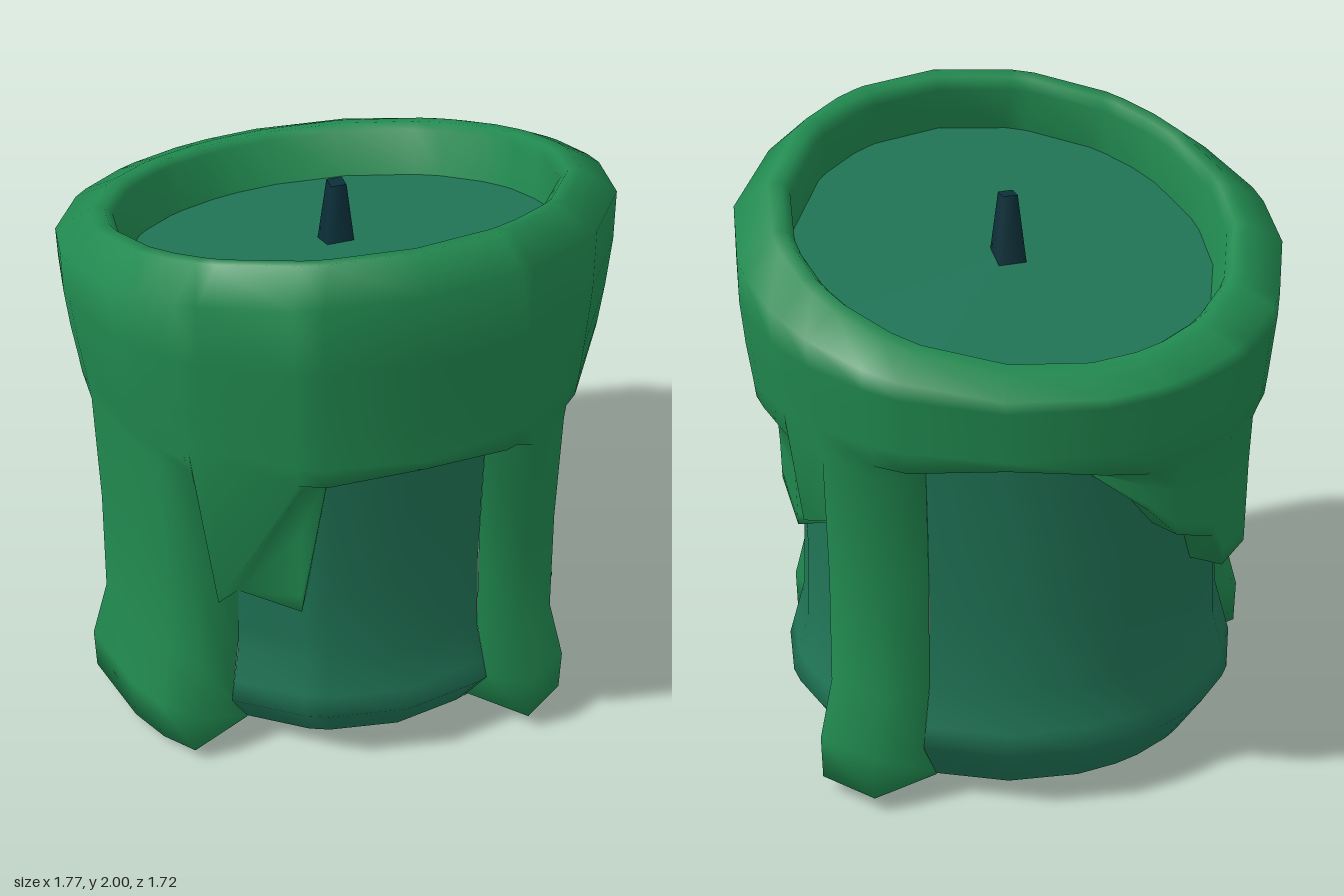
import * as THREE from 'three';
import { mergeVertices } from 'three/addons/utils/BufferGeometryUtils.js';

const { lerp, smoothstep } = THREE.MathUtils;

// Columns round the candle: [angle, height of the wax edge, drip fullness 0..1, height where full wax starts].
// Two columns at one angle mark the vertical side of a drip.
const COLUMNS = [
  [0, 1.22, 0], [20, 1.18, 0],
  [23, 1.18, 0], [23, 0.04, 0], [28.5, 0.03, 1], [40.5, 0.03, 1], [45, 0.04, 0], [45, 1.18, 0],
  [68, 1.22, 0], [87, 1.18, 0], [93, 0.97, 0.7], [105, 0.88, 0.9],
  [109, 0.88, 0, 0.88], [109, 0.04, 0, 0.88], [117, 0.03, 1], [131, 0.03, 1], [139, 0.04, 0], [139, 1.18, 0],
  [160, 1.23, 0], [180, 1.17, 0], [192, 1.05, 0.8], [200, 0.93, 0.9], [212, 0.86, 0.9],
  [217, 0.72, 0.9], [230, 0.72, 0.9], [235, 1.15, 0], [254, 1.22, 0],
  [269, 1.18, 0], [269, 0.04, 0], [274.5, 0.03, 1], [292, 0.01, 1], [301, 0, 1], [310, 0.02, 1],
  [315, 0.04, 0, 0.63], [315, 0.63, 0, 0.63], [334, 0.68, 0.8], [340, 1.18, 0],
].map(([deg, edge, drip, start]) => ({
  a: THREE.MathUtils.degToRad(deg), edge, drip, start: start ?? Math.max(1.18, edge),
}));

// Profiles as [height, radius]: bare candle wall, and outside of the drips
const WALL = [[0, 0.645], [0.05, 0.66], [0.2, 0.76], [0.4, 0.705], [0.66, 0.695], [1, 0.7], [1.25, 0.71], [2, 0.71]];
const WAX = [[0, 0.87], [0.05, 0.885], [0.2, 0.89], [0.4, 0.832], [0.66, 0.825], [1.2, 0.835], [2, 0.835]];

function radiusAt(profile, y) {
  const i = Math.max(1, profile.findIndex((p) => p[0] >= y));
  const [y0, r0] = profile[i - 1];
  const [y1, r1] = profile[i];
  return lerp(r0, r1, (y - y0) / (y1 - y0));
}

const ring = (a, r, y, sz = 1) => [Math.sin(a) * r, y, Math.cos(a) * r * sz];

// Point on a ring lying in a plane that rises towards the front
function tilted(a, r, height, slope, shift = 0) {
  const z = Math.cos(a) * r + shift;
  return [Math.sin(a) * r, height + slope * z, z];
}

// Closed surface through one list of points per column, top to bottom
function skin(columns, rowsOf) {
  const lists = columns.map(rowsOf);
  const n = lists[0].length;
  const index = [];
  columns.forEach((c, i) => {
    const k = (i + 1) % columns.length;
    if (columns[k].a === c.a) return;
    for (let j = 0; j < n - 1; j++) {
      const p = i * n + j, q = k * n + j;
      index.push(p, p + 1, q + 1, p, q + 1, q);
    }
  });
  let g = new THREE.BufferGeometry();
  g.setAttribute('position', new THREE.Float32BufferAttribute(lists.flat(2), 3));
  g.setIndex(index);
  g = mergeVertices(g, 1e-4);
  g.computeVertexNormals();
  return g;
}

const poolEdge = (a) => tilted(a, 0.68, 1.585, 0.3, 0.05);

// Wax: inner wall, rolled rim, outer wall, then down to the drip edge
function waxRows({ a, edge, drip, start }) {
  const top = tilted(a, 0.885, 1.695, 0.236)[1];
  const rows = [
    poolEdge(a),
    tilted(a, 0.7, 1.74, 0.3),
    tilted(a, 0.725, 1.768, 0.303),
    tilted(a, 0.77, 1.767, 0.303),
  ];
  const heights = [top, lerp(top, 1.42, 0.5), 1.42, 1.3, Math.min(1.27, start + 0.05), start];
  for (const f of [0.35, 0.68, 0.85, 0.98, 1]) heights.push(lerp(start, edge, f));
  heights.forEach((y, i) => {
    const swell = 0.05 * smoothstep(y, 1.1, Math.min(top, 1.6));
    const full = radiusAt(WAX, y) + swell;
    const fill = y <= edge || i === heights.length - 1 ? 0 : lerp(drip, 1, smoothstep(y, start, start + 0.04));
    rows.push(ring(a, lerp(radiusAt(WALL, y), full, fill), y, lerp(1, 0.97, smoothstep(y, 1.25, 1.45))));
  });
  return rows;
}

// Bare candle wall below the drip edge, turned in at the foot
const bodyRows = ({ a, edge }) => [edge, lerp(edge, 0.4, 0.33), lerp(edge, 0.4, 0.66), 0.4, 0.27, 0.2, 0.045].map((h) => {
  const y = Math.min(edge, h);
  return ring(a, radiusAt(WALL, y), y);
});

export function createModel() {
  const waxMat = new THREE.MeshStandardMaterial({ color: 0x218a50, side: THREE.DoubleSide });
  waxMat.name = 'green wax';
  const bodyMat = new THREE.MeshStandardMaterial({ color: 0x207557, side: THREE.DoubleSide });
  bodyMat.name = 'teal wax';
  const wickMat = new THREE.MeshStandardMaterial({ color: 0x0a303a });
  wickMat.name = 'dark wick';

  const group = new THREE.Group();
  group.name = 'candle';
  const add = (name, geometry, material) => {
    const mesh = new THREE.Mesh(geometry, material);
    mesh.name = name;
    group.add(mesh);
    return mesh;
  };

  add('meltedWax', skin(COLUMNS, waxRows), waxMat);
  add('candleBody', skin(COLUMNS, bodyRows), bodyMat);

  // Sunken sloping pool inside the rim
  add('waxPool', skin(COLUMNS, ({ a }) => [[0, 1.6, 0.05], poolEdge(a)]), bodyMat);

  // Square tapered wick
  const wickGeo = new THREE.CylinderGeometry(0.035, 0.07, 0.25, 4);
  wickGeo.rotateY(Math.PI / 4);
  add('wick', wickGeo, wickMat).position.set(-0.01, 1.685, 0.045);

  return group;
}
